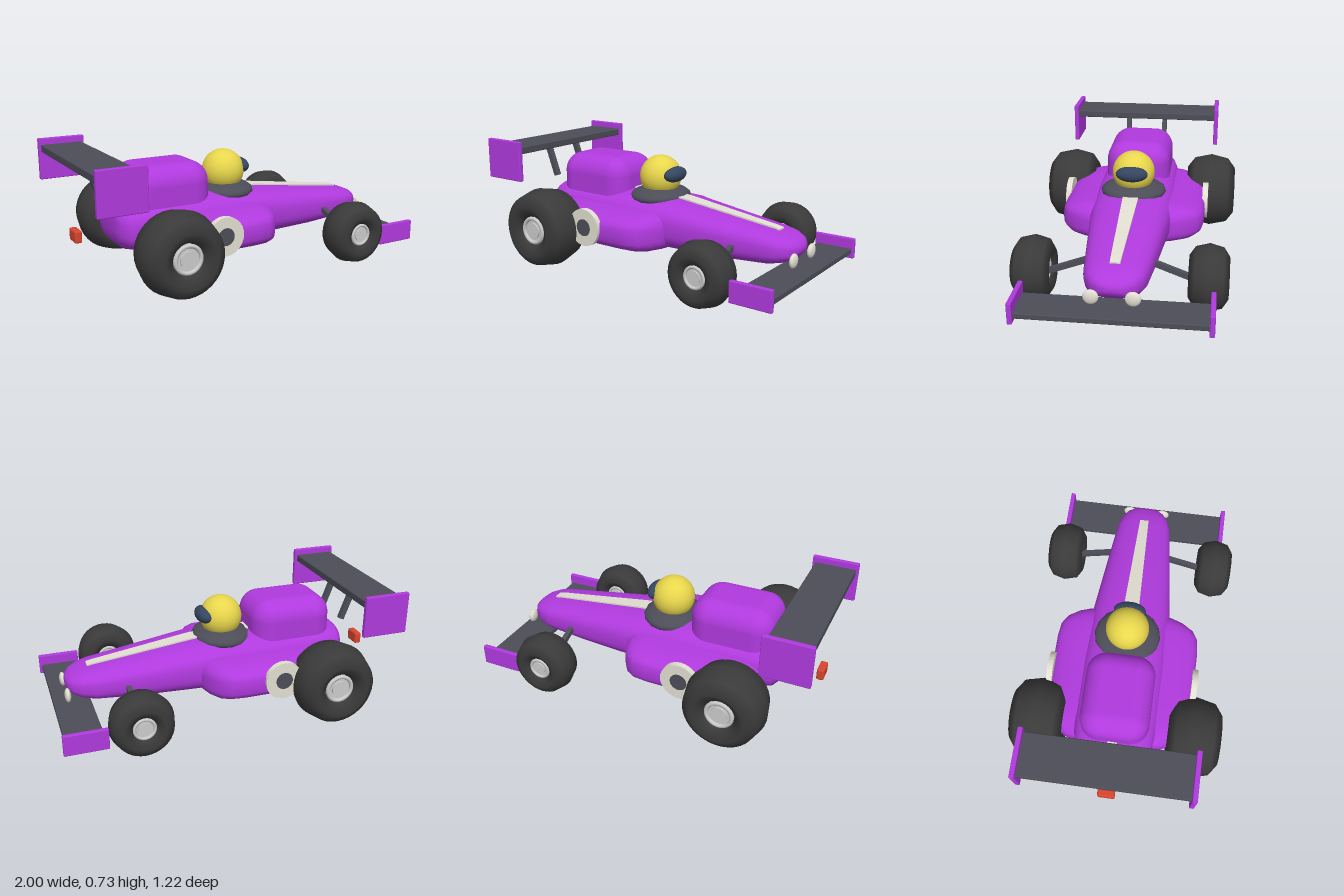
import * as THREE from 'three';
import { RoundedBoxGeometry } from 'three/addons/geometries/RoundedBoxGeometry.js';

const mat = (color) => new THREE.MeshStandardMaterial({ color });
const paint = mat(0xb03ade);
const rubber = mat(0x3a3a3b);
const carbon = mat(0x4c4d57);
const ivory = mat(0xe2dfd2);
const metal = mat(0xc4c4c0);
const yellow = mat(0xe8d64c);
const glass = mat(0x35465f);
const red = mat(0xd8452f);

// Lofts superellipse sections along x; station = [x, halfWidth, yBottom, yTop]
function loft(stations, power, sides = 40) {
  const first = stations[0], last = stations[stations.length - 1];
  const tip = ([x, , b, t]) => [x, 0, (b + t) / 2, (b + t) / 2];
  const rings = [tip(first), ...stations, tip(last)];
  const pos = [], index = [];
  const bend = (v) => Math.sign(v) * Math.abs(v) ** (2 / power);
  rings.forEach(([x, w, b, t], i) => {
    for (let j = 0; j < sides; j++) {
      const a = (j / sides) * Math.PI * 2;
      pos.push(x, (b + t) / 2 + bend(Math.cos(a)) * (t - b) / 2, bend(Math.sin(a)) * w);
      if (i === rings.length - 1) continue;
      const p = i * sides + j, q = i * sides + (j + 1) % sides;
      index.push(p, q, p + sides, q, q + sides, p + sides);
    }
  });
  const g = new THREE.BufferGeometry();
  g.setAttribute('position', new THREE.Float32BufferAttribute(pos, 3));
  g.setIndex(index);
  g.computeVertexNormals();
  return g;
}

export function createModel() {
  const model = new THREE.Group();
  model.name = 'racingCar';

  const add = (name, geometry, material, x = 0, y = 0, z = 0, parent = model) => {
    const m = new THREE.Mesh(geometry, material);
    m.name = name;
    m.position.set(x, y, z);
    parent.add(m);
    return m;
  };
  const ellipsoid = (name, material, x, y, z, rx, ry, rz, ws = 32, hs = 20) =>
    add(name, new THREE.SphereGeometry(1, ws, hs), material, x, y, z).scale.set(rx, ry, rz);
  // Softened box given by its limits
  const block = (name, material, [x0, x1], [y0, y1], [z0, z1], r = 0.006, seg = 2) =>
    add(name, new RoundedBoxGeometry(x1 - x0, y1 - y0, z1 - z0, seg, r), material,
      (x0 + x1) / 2, (y0 + y1) / 2, (z0 + z1) / 2);
  // Square bar between two points
  const bar = (name, a, b, size) => {
    const p = new THREE.Vector3(...a), q = new THREE.Vector3(...b);
    const m = add(name, new THREE.BoxGeometry(size, size, p.distanceTo(q)), carbon);
    m.position.copy(p).add(q).multiplyScalar(0.5);
    m.lookAt(q);
  };

  // Main body with tapered nose
  const hull = [
    [-0.77, 0.1, 0.27, 0.385], [-0.76, 0.165, 0.22, 0.41], [-0.72, 0.215, 0.18, 0.435],
    [-0.6, 0.24, 0.15, 0.45], [-0.2, 0.245, 0.14, 0.445], [0.15, 0.235, 0.14, 0.425],
    [0.5, 0.198, 0.145, 0.378], [0.75, 0.17, 0.16, 0.345], [0.82, 0.15, 0.175, 0.33],
    [0.87, 0.115, 0.195, 0.31], [0.895, 0.075, 0.22, 0.29], [0.905, 0.035, 0.24, 0.27],
  ];
  add('body', loft(hull, 2.8), paint);

  // Side pods, one volume passing through the body
  add('sidePods', loft([
    [-0.67, 0.2, 0.2, 0.32], [-0.65, 0.29, 0.17, 0.345], [-0.6, 0.37, 0.15, 0.365],
    [-0.52, 0.42, 0.14, 0.375], [-0.4, 0.43, 0.14, 0.375], [-0.05, 0.43, 0.14, 0.375],
    [0.03, 0.42, 0.14, 0.375], [0.08, 0.39, 0.143, 0.37], [0.12, 0.33, 0.152, 0.357],
    [0.145, 0.27, 0.168, 0.335], [0.157, 0.22, 0.19, 0.31],
  ], 3.4), paint);

  // Engine cover
  block('engineCover', paint, [-0.69, -0.2], [0.28, 0.635], [-0.196, 0.196], 0.115, 8);

  // Stripe that follows the top of the body
  const topAt = (x) => {
    const i = Math.max(1, hull.findIndex((s) => s[0] >= x));
    const [p, q] = [hull[i - 1], hull[i]];
    return p[3] + (q[3] - p[3]) * (x - p[0]) / (q[0] - p[0]);
  };
  const stripe = new THREE.BoxGeometry(1.48, 0.016, 1, 40, 1, 1);
  const sp = stripe.attributes.position;
  for (let i = 0; i < sp.count; i++) {
    const x = sp.getX(i) + 0.035;
    const half = THREE.MathUtils.mapLinear(Math.max(x, 0.15), 0.15, 0.775, 0.045, 0.027);
    sp.setXYZ(i, x, topAt(x) + sp.getY(i), Math.sign(sp.getZ(i)) * (x < -0.65 ? 0.027 : half));
  }
  stripe.computeVertexNormals();
  add('stripe', stripe, ivory);

  // Cockpit rim and driver
  ellipsoid('cockpitRim', carbon, -0.04, 0.42, 0, 0.175, 0.06, 0.195, 16, 12);
  ellipsoid('helmet', yellow, -0.039, 0.535, 0, 0.124, 0.125, 0.126);
  ellipsoid('visor', glass, 0.066, 0.555, 0, 0.05, 0.046, 0.094);

  // Wings: blade plus two end plates
  block('frontWing', carbon, [0.77, 0.982], [0.106, 0.139], [-0.5, 0.5]);
  block('rearWing', carbon, [-0.985, -0.745], [0.652, 0.695], [-0.468, 0.468]);
  for (const s of [-1, 1]) {
    const span = (a, b) => [s * a, s * b].sort((p, q) => p - q);
    block('frontEndPlate', paint, [0.755, 0.998], [0.08, 0.2], span(0.491, 0.518));
    block('rearEndPlate', paint, [-1, -0.728], [0.49, 0.732], span(0.46, 0.488));
    bar('rearWingStrut', [-0.85, 0.665, s * 0.122], [-0.775, 0.465, s * 0.122], 0.031);
    bar('suspensionArm', [0.572, 0.258, s * 0.16], [0.572, 0.16, s * 0.42], 0.03);
    ellipsoid('headlight', ivory, 0.905, 0.216, s * 0.107, 0.018, 0.041, 0.041, 20, 14);

    // Side vent: pale disc with a dark centre
    const disc = (r, h) => new THREE.CylinderGeometry(r, r, h, 32).rotateX(Math.PI / 2);
    add('ventRing', disc(0.11, 0.034), ivory, -0.268, 0.275, s * 0.428);
    add('ventCentre', disc(0.05, 0.036), carbon, -0.268, 0.275, s * 0.429);

    // Wheels: [name, x, z, tyre radius, ring radius, half width]
    for (const [name, x, z, r, ring, half] of [
      ['rearWheel', -0.556, 0.458, 0.235, 0.15, 0.154],
      ['frontWheel', 0.572, 0.475, 0.182, 0.115, 0.107],
    ]) {
      const wheel = new THREE.Group();
      wheel.name = name;
      wheel.position.set(x, r, s * z);
      model.add(wheel);
      const tube = r - ring;
      add('tyre', new THREE.TorusGeometry(ring, tube, 8, 36).scale(1, 1, half / tube),
        rubber, 0, 0, 0, wheel);
      add('hub', disc(r * 0.33, half * 1.34), metal, 0, 0, 0, wheel);
      add('hubCap', disc(r * 0.2, half * 1.46), metal, 0, 0, 0, wheel);
      for (const side of [-1, 1])
        add('rim', new THREE.TorusGeometry(r * 0.31, r * 0.05, 8, 32), metal,
          0, 0, side * half * 0.68, wheel);
    }
  }

  // Tail light
  block('tailLight', red, [-0.976, -0.934], [0.238, 0.307], [-0.05, 0.05], 0.01);

  return model;
}
